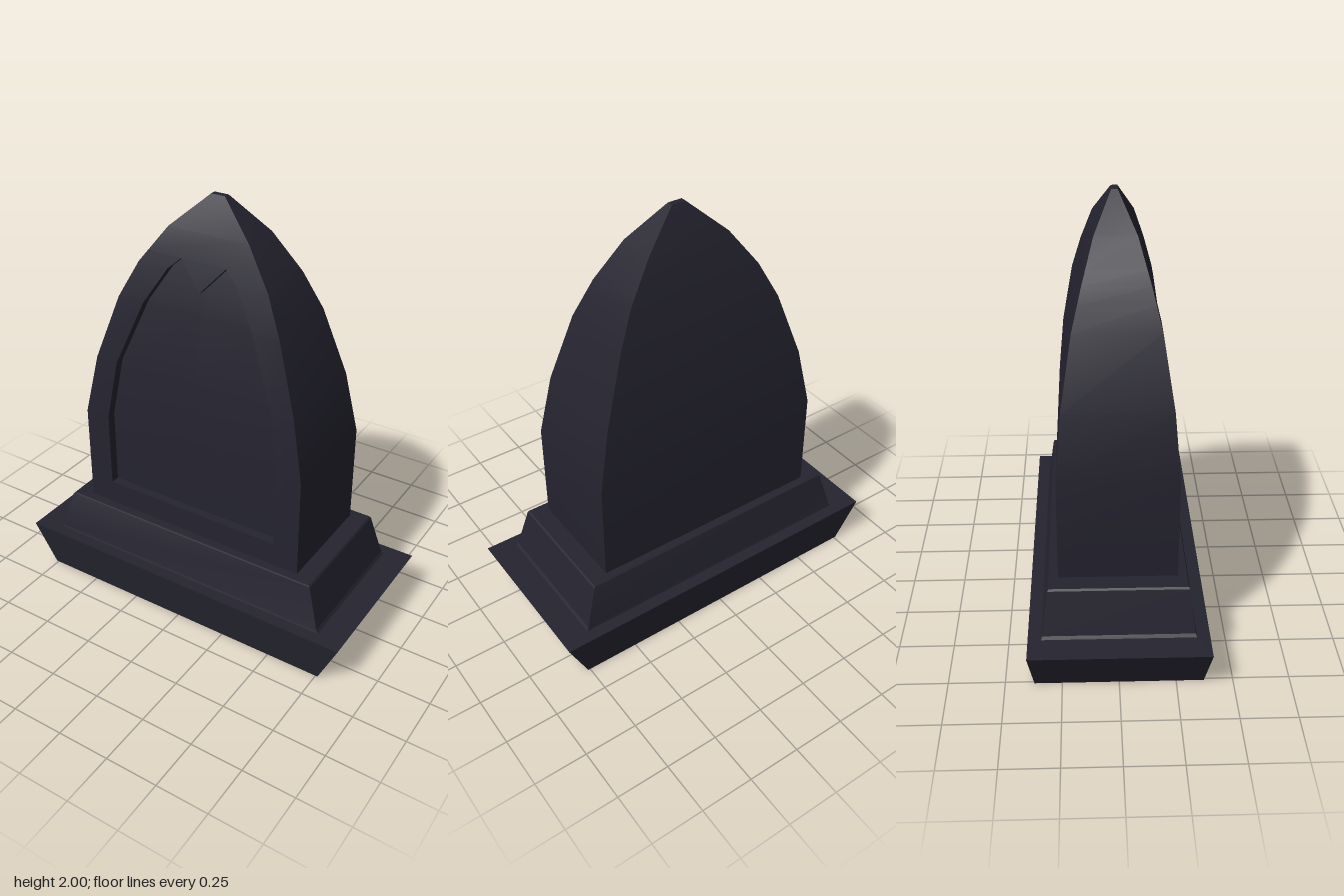
import * as THREE from 'three';
import { toCreasedNormals } from 'three/addons/utils/BufferGeometryUtils.js';

const stone = new THREE.MeshStandardMaterial({ color: 0x24232f });
stone.name = 'darkStone';

// Collects four-cornered faces (counter-clockwise from outside) into one mesh
class Faces {
  constructor() { this.points = []; }
  quad(a, b, c, d) { this.points.push(...a, ...b, ...c, ...a, ...c, ...d); }
  // the face plus its reflection across x = 0
  mirrored(a, b, c, d) {
    const flip = ([x, y, z]) => [-x, y, z];
    this.quad(a, b, c, d);
    this.quad(flip(d), flip(c), flip(b), flip(a));
  }
  mesh(name, creaseDegrees) {
    const geometry = new THREE.BufferGeometry();
    geometry.setAttribute('position', new THREE.Float32BufferAttribute(this.points, 3));
    const mesh = new THREE.Mesh(toCreasedNormals(geometry, THREE.MathUtils.degToRad(creaseDegrees)), stone);
    mesh.name = name;
    return mesh;
  }
}

// Straight-line interpolation in rows of [y, value, ...]
function at(rows, y, column = 1) {
  let i = 1;
  while (i < rows.length - 1 && y > rows[i][0]) i++;
  const [a, b] = [rows[i - 1], rows[i]];
  return THREE.MathUtils.mapLinear(y, a[0], b[0], a[column], b[column]);
}

// Stack of rectangles [y, half width, half depth], closed at both ends
function plinth(name, rows) {
  const f = new Faces();
  const ring = ([y, w, d]) => [[-w, y, d], [w, y, d], [w, y, -d], [-w, y, -d]];
  for (let i = 1; i < rows.length; i++) {
    const lo = ring(rows[i - 1]), hi = ring(rows[i]);
    for (let k = 0; k < 4; k++) {
      const n = (k + 1) % 4;
      f.quad(lo[k], lo[n], hi[n], hi[k]);
    }
  }
  f.quad(...ring(rows[0]).reverse());
  f.quad(...ring(rows[rows.length - 1]));
  return f.mesh(name, 20);
}

// Pointed slab with a sunken panel in its front
function headstone() {
  const body = [
    [0.43, 0.575, 0.262], [0.91, 0.575, 0.262], [1.2, 0.515, 0.237], [1.51, 0.41, 0.188],
    [1.68, 0.325, 0.144], [1.85, 0.2, 0.092], [2, 0.034, 0.014],
  ];
  const panelEdge = [[0.545, 0.45], [0.91, 0.45], [1.2, 0.403], [1.51, 0.277], [1.68, 0.173], [1.735, 0.112]];
  const notchEdge = [[1.61, 0], [1.735, 0.112]];
  const bottom = 0.545, notchTip = 1.61, top = 1.735, depth = 0.043;
  const levels = [0.43, bottom, 0.91, 1.2, 1.51, notchTip, 1.68, top, 1.85, 2];

  const shell = new Faces(), panel = new Faces();
  const width = (y) => at(body, y), face = (y) => at(body, y, 2);
  const front = (x, y) => [x, y, face(y)];
  const sunk = (x, y) => [x, y, face(y) - depth];

  for (let i = 1; i < levels.length; i++) {
    const y0 = levels[i - 1], y1 = levels[i];
    const w0 = width(y0), w1 = width(y1), d0 = face(y0), d1 = face(y1);
    // side and back
    shell.mirrored([w0, y0, d0], [w0, y0, -d0], [w1, y1, -d1], [w1, y1, d1]);
    shell.quad([w0, y0, -d0], [-w0, y0, -d0], [-w1, y1, -d1], [w1, y1, -d1]);

    if (y0 < bottom || y0 >= top) {
      shell.quad(front(-w0, y0), front(w0, y0), front(w1, y1), front(-w1, y1));
      continue;
    }
    // frame, panel floor and the wall between them
    const p0 = at(panelEdge, y0), p1 = at(panelEdge, y1);
    const inNotch = y0 >= notchTip;
    const n0 = inNotch ? at(notchEdge, y0) : 0, n1 = inNotch ? at(notchEdge, y1) : 0;
    shell.mirrored(front(p0, y0), front(w0, y0), front(w1, y1), front(p1, y1));
    shell.mirrored(front(p0, y0), front(p1, y1), sunk(p1, y1), sunk(p0, y0));
    panel.mirrored(sunk(n0, y0), sunk(p0, y0), sunk(p1, y1), sunk(n1, y1));
    // raised point hanging into the panel
    if (inNotch) {
      shell.quad(front(-n0, y0), front(n0, y0), front(n1, y1), front(-n1, y1));
      shell.mirrored(front(n0, y0), sunk(n0, y0), sunk(n1, y1), front(n1, y1));
    }
  }
  // ledge under the panel, and the flat tip
  const p = panelEdge[0][1];
  shell.quad(front(-p, bottom), front(p, bottom), sunk(p, bottom), sunk(-p, bottom));
  const [y, w, d] = body[body.length - 1];
  shell.quad([-w, y, d], [w, y, d], [w, y, -d], [-w, y, -d]);

  const group = new THREE.Group();
  group.name = 'headstone';
  group.add(shell.mesh('slab', 25), panel.mesh('sunkenPanel', 25));
  return group;
}

export function createModel() {
  const model = new THREE.Group();
  model.name = 'gravestone';
  model.add(
    plinth('lowerPlinth', [[0, 0.76, 0.372], [0.215, 0.86, 0.396]]),
    plinth('upperPlinth', [[0.215, 0.732, 0.338], [0.228, 0.722, 0.333], [0.422, 0.665, 0.307], [0.43, 0.658, 0.303]]),
    headstone(),
  );
  return model;
}
